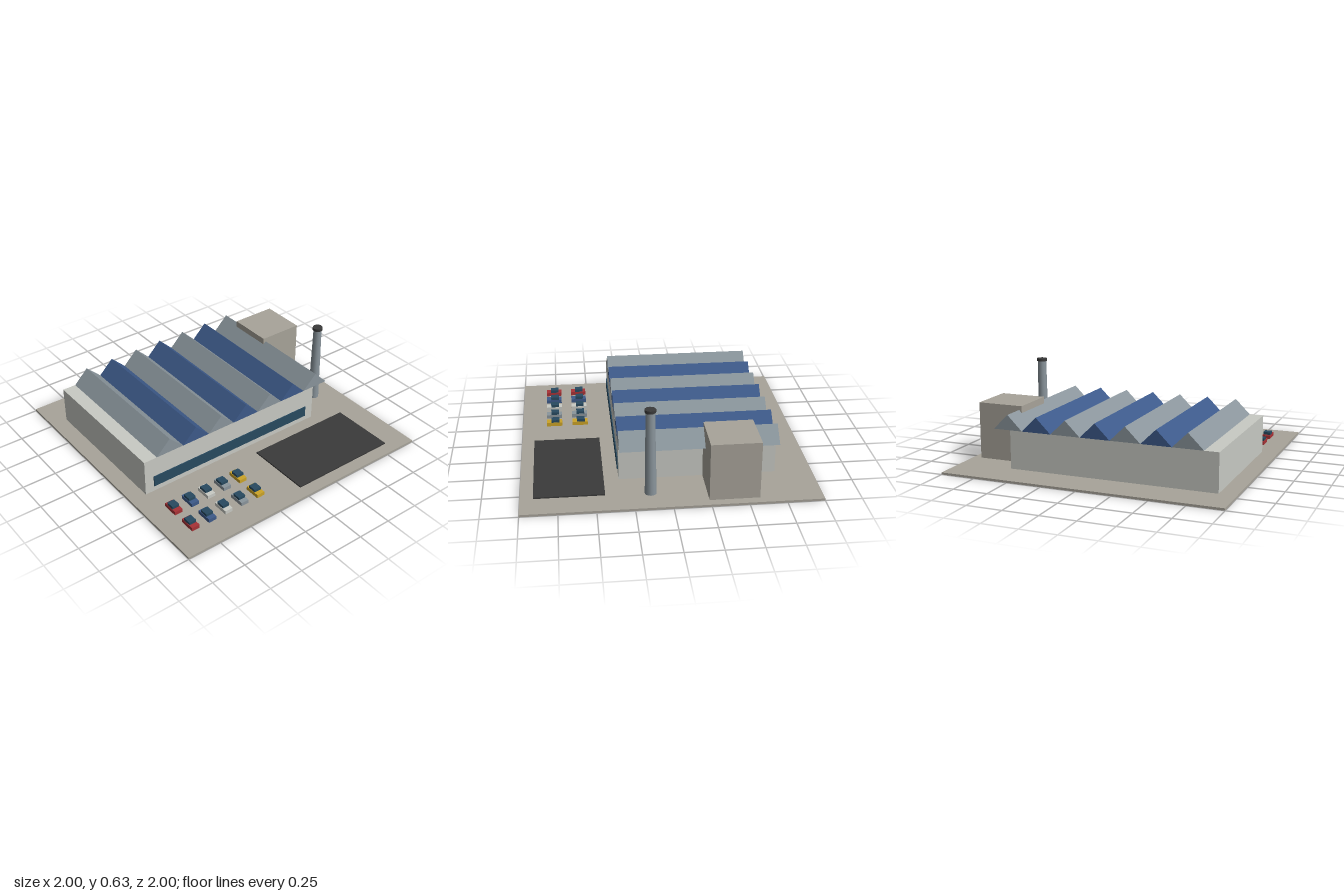
import * as THREE from 'three';

const mat = (name, color) => {
  const m = new THREE.MeshStandardMaterial({ color });
  m.name = name;
  return m;
};

export function createModel() {
  const concrete = mat('concrete', 0xa8a49a);
  const wall = mat('pale wall', 0xc8cac4);
  const steel = mat('grey steel', 0x8a959c);
  const blue = mat('blue', 0x3d5a8a);
  const glass = mat('dark glass', 0x284a60);
  const asphalt = mat('asphalt', 0x3a3a3a);
  const red = mat('red', 0xa83236);
  const yellow = mat('yellow', 0xcca428);

  const model = new THREE.Group();
  model.name = 'factory';

  const add = (parent, name, geometry, material, x = 0, y = 0, z = 0) => {
    const mesh = new THREE.Mesh(geometry, material);
    mesh.name = name;
    mesh.position.set(x, y, z);
    parent.add(mesh);
    return mesh;
  };
  // Box given by its extents along each axis
  const box = (parent, name, material, [x0, x1], [y0, y1], [z0, z1]) =>
    add(parent, name, new THREE.BoxGeometry(x1 - x0, y1 - y0, z1 - z0), material,
      (x0 + x1) / 2, (y0 + y1) / 2, (z0 + z1) / 2);

  // Site and main buildings
  const ground = 0.015;
  box(model, 'groundSlab', concrete, [-1, 1], [0, ground], [-1, 1]);
  box(model, 'mainHall', wall, [-0.88, 0.607], [ground, 0.286], [-0.742, 0.335]);
  box(model, 'windowStrip', glass, [-0.812, 0.538], [0.057, 0.138], [0.335, 0.342]);
  box(model, 'annex', concrete, [0.604, 0.941], [ground, 0.42], [-0.577, -0.24]);
  box(model, 'loadingYard', asphalt, [0, 0.81], [ground, 0.025], [0.437, 0.911]);

  // Row of triangular roof ridges in alternating colours
  const roof = new THREE.Group();
  roof.name = 'roofRidges';
  model.add(roof);
  const pitch = 0.216;
  const profile = new THREE.Shape();
  profile.moveTo(-pitch / 2, 0);
  profile.lineTo(pitch / 2, 0);
  profile.lineTo(0, 0.106);
  profile.closePath();
  const ridge = new THREE.ExtrudeGeometry(profile, { depth: 1.077, bevelEnabled: false });
  for (let i = 0; i < 7; i++) {
    add(roof, 'roofRidge', ridge, i % 2 ? blue : steel, -0.671 + i * pitch, 0.286, -0.742);
  }

  // Chimney with a dark cap
  const chimney = new THREE.Group();
  chimney.name = 'chimney';
  chimney.position.set(0.808, 0, 0.135);
  model.add(chimney);
  add(chimney, 'chimneyStack', new THREE.CylinderGeometry(0.031, 0.04, 0.597, 12), steel, 0, 0.3135, 0);
  add(chimney, 'chimneyCap', new THREE.CylinderGeometry(0.038, 0.038, 0.02, 12), asphalt, 0, 0.62, 0);

  // Two rows of parked cars
  const bodyGeometry = new THREE.BoxGeometry(0.06, 0.027, 0.115);
  const cabinGeometry = new THREE.BoxGeometry(0.054, 0.02, 0.06);
  const paints = [red, blue, wall, steel, yellow];
  for (const z of [0.57, 0.762]) {
    paints.forEach((paint, i) => {
      const car = new THREE.Group();
      car.name = 'car';
      car.position.set(-0.813 + i * 0.135, ground, z);
      add(car, 'carBody', bodyGeometry, paint, 0, 0.0135, 0);
      add(car, 'carCabin', cabinGeometry, glass, 0, 0.037, -0.006);
      model.add(car);
    });
  }
  return model;
}
